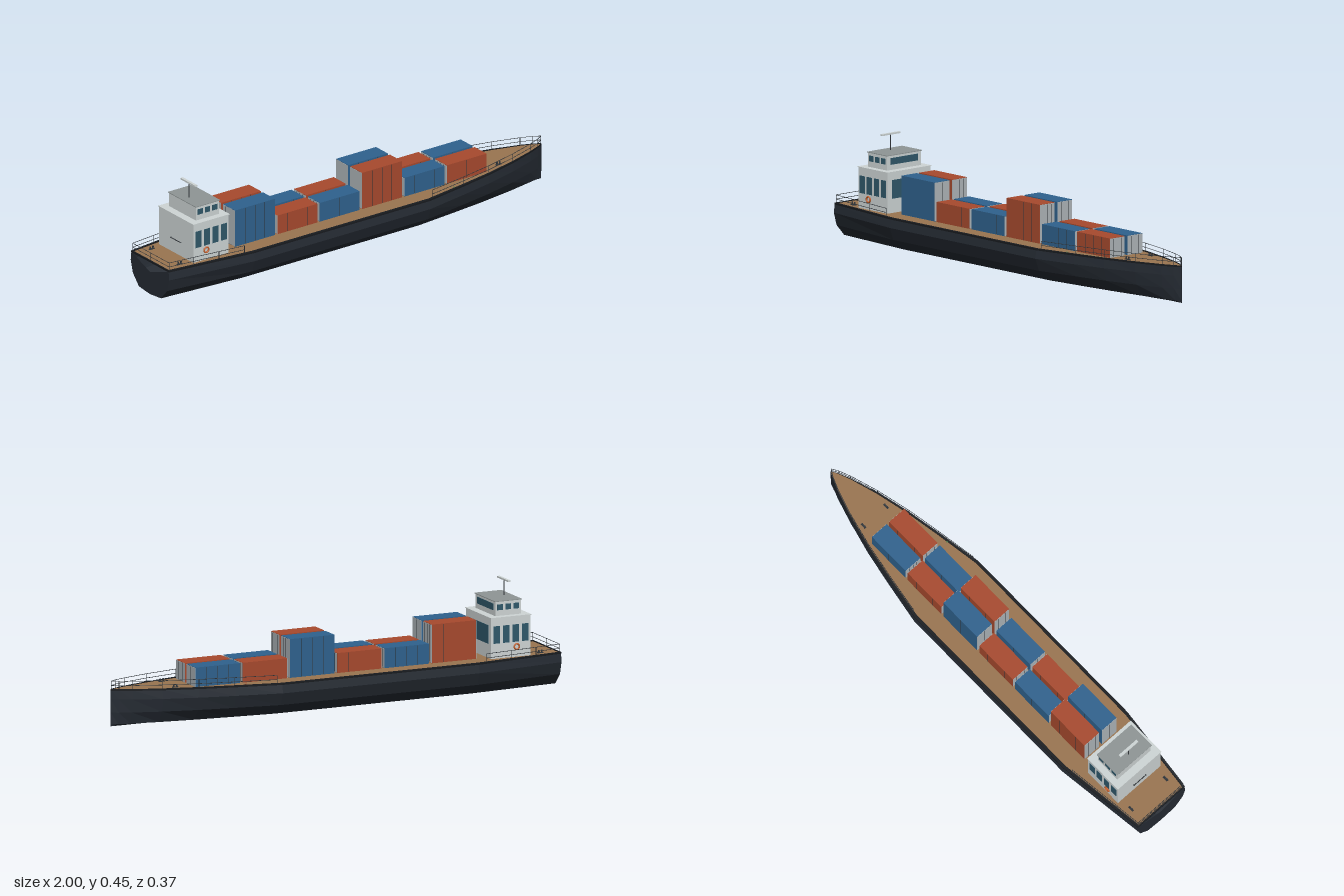
import * as THREE from 'three';

const mat = (color, extra = {}) => new THREE.MeshStandardMaterial({ color, ...extra });
const M = {
  hull: mat(0x252b33, { flatShading: true, side: THREE.DoubleSide }),
  trim: mat(0x181b1f, { side: THREE.DoubleSide }),
  deck: mat(0x9a7550, { side: THREE.DoubleSide }),
  house: mat(0xcfd6d6),
  roof: mat(0x8f9696),
  glass: mat(0x2f586a),
  blue: mat(0x2f628e),
  red: mat(0xa84a2e),
  doors: mat(0xb0b7bb),
  metal: mat(0x33383d),
  buoy: mat(0xc8622e),
  green: mat(0x2f8a4e),
};

// Plan outline of the ship: [x, share of the full beam]
const STATIONS = [[-1, 0.73], [-0.6, 1], [0.3, 1], [0.5, 0.81], [0.65, 0.65],
  [0.8, 0.44], [0.92, 0.22], [0.97, 0.1], [1, 0.008]];
const sheer = (x) => 0.007 * Math.max(0, (x - 0.3) / 0.7);
function beam(x) {
  for (let i = 1; i < STATIONS.length; i++) {
    const [x0, b0] = STATIONS[i - 1], [x1, b1] = STATIONS[i];
    if (x <= x1) return b0 + (b1 - b0) * (x - x0) / (x1 - x0);
  }
  return 0;
}

// Sweeps a cross-section of [z, y] points along the stations
function loft(section, capStern = false) {
  const pos = [], n = section.length;
  const point = (i, j) => {
    const [x, b] = STATIONS[i], [z, y] = section[j];
    return [x, y + sheer(x) * THREE.MathUtils.clamp(y / 0.145, 0, 1), z * b];
  };
  const tri = (a, b, c) => pos.push(...a, ...b, ...c);
  for (let i = 0; i < STATIONS.length - 1; i++) {
    for (let j = 0; j < n - 1; j++) {
      const a = point(i, j), b = point(i, j + 1), c = point(i + 1, j + 1), d = point(i + 1, j);
      tri(a, b, c);
      tri(a, c, d);
    }
  }
  if (capStern) for (let j = 0; j < n - 1; j++) tri([-1, 0.1, 0], point(0, j + 1), point(0, j));
  const geo = new THREE.BufferGeometry();
  geo.setAttribute('position', new THREE.Float32BufferAttribute(pos, 3));
  geo.computeVertexNormals();
  return geo;
}

function add(parent, name, geo, material, x = 0, y = 0, z = 0) {
  const mesh = new THREE.Mesh(geo, material);
  mesh.name = name;
  mesh.position.set(x, y, z);
  parent.add(mesh);
  return mesh;
}
const box = (parent, name, material, w, h, d, x, y, z) =>
  add(parent, name, new THREE.BoxGeometry(w, h, d), material, x, y, z);
const group = (parent, name) => {
  const g = new THREE.Group();
  g.name = name;
  parent.add(g);
  return g;
};

// Thin straight bar between two points
function bar(parent, name, a, b, r = 0.0012) {
  const mid = a.clone().add(b).multiplyScalar(0.5), dir = b.clone().sub(a);
  const mesh = add(parent, name, new THREE.CylinderGeometry(r, r, dir.length(), 6), M.metal, mid.x, mid.y, mid.z);
  mesh.quaternion.setFromUnitVectors(new THREE.Vector3(0, 1, 0), dir.normalize());
}

// Railing with posts and two rails along [x, side] stops
function railing(parent, name, stops) {
  const g = group(parent, name);
  const at = ([x, side], h) => new THREE.Vector3(x, 0.147 + sheer(x) + h, side * 0.172 * beam(x));
  stops.forEach((s, i) => {
    bar(g, 'railPost', at(s, 0), at(s, 0.036));
    if (i) for (const h of [0.018, 0.036]) bar(g, 'rail', at(stops[i - 1], h), at(s, h));
  });
}

function buildHull(ship) {
  const half = [[0.177, 0.146], [0.183, 0.108], [0.163, 0.055], [0.105, 0.008]];
  const section = [...half, [0, 0], ...half.map(([z, y]) => [-z, y]).reverse()];
  add(ship, 'hull', loft(section, true), M.hull);
  add(ship, 'deck', loft([[-0.172, 0.147], [0.172, 0.147]]), M.deck);
  // Raised edge around the deck
  for (const s of [1, -1]) {
    const edge = [[0.167, 0.143], [0.18, 0.143], [0.18, 0.15], [0.167, 0.15], [0.167, 0.143]];
    add(ship, 'gunwale', loft(edge.map(([z, y]) => [z * s, y])), M.trim);
  }
  box(ship, 'sternEdge', M.trim, 0.006, 0.007, 0.26, -0.997, 0.1465, 0);
}

function buildContainer(cargo, i, side) {
  const tall = i % 3 === 0, h = tall ? 0.163 : 0.084, L = 0.203, W = 0.083;
  const g = group(cargo, 'container');
  g.position.set(-0.529 + i * 0.2165, 0.148, side * 0.0485);
  const paint = (i + (side > 0 ? 0 : 1)) % 2 === 0 ? M.blue : M.red;
  box(g, 'containerBody', paint, L, h, W, 0, h / 2, 0);
  for (const s of [1, -1]) {
    // Grey end doors with their seam and locking bars
    box(g, 'endDoors', M.doors, 0.002, h - 0.003, W - 0.002, s * L / 2, h / 2, 0);
    for (const z of [-0.021, 0, 0.021])
      box(g, 'doorBar', M.metal, 0.002, h - 0.008, 0.001, s * (L / 2 + 0.001), h / 2, z);
    // Upright seams on the long sides
    for (const x of [-0.05, 0, 0.05])
      box(g, 'sideSeam', M.metal, 0.0012, h - 0.004, 0.001, x, h / 2, s * W / 2);
  }
}

function buildHouse(ship) {
  const g = group(ship, 'deckHouse');
  g.position.x = -0.775;
  box(g, 'lowerHouse', M.house, 0.18, 0.172, 0.238, 0, 0.232, 0);
  box(g, 'lowerRoof', M.house, 0.186, 0.003, 0.244, 0, 0.3185, 0);
  box(g, 'bridge', M.house, 0.118, 0.062, 0.187, 0, 0.35, 0);
  box(g, 'bridgeRoof', M.roof, 0.124, 0.003, 0.194, 0, 0.3815, 0);
  // Forward windows
  box(g, 'lowerFrontWindow', M.glass, 0.004, 0.078, 0.19, 0.09, 0.246, 0);
  box(g, 'bridgeFrontWindow', M.glass, 0.004, 0.028, 0.15, 0.059, 0.356, 0);
  for (const s of [1, -1]) {
    for (let k = 0; k < 4; k++)
      box(g, 'lowerSideWindow', M.glass, 0.03, 0.073, 0.003, (k - 1.5) * 0.0435, 0.247, s * 0.119);
    for (let k = -1; k <= 1; k++)
      box(g, 'bridgeSideWindow', M.glass, 0.026, 0.024, 0.003, k * 0.037, 0.356, s * 0.0935);
    add(g, 'lifebuoy', new THREE.TorusGeometry(0.0115, 0.0035, 8, 20), M.buoy, -0.026, 0.19, s * 0.1215);
  }
  // Handrail on the after wall
  bar(g, 'rearHandrail', new THREE.Vector3(-0.095, 0.21, -0.035), new THREE.Vector3(-0.095, 0.21, 0.035), 0.002);
  for (const z of [-0.033, 0.033])
    bar(g, 'handrailBracket', new THREE.Vector3(-0.088, 0.21, z), new THREE.Vector3(-0.095, 0.21, z), 0.0015);
  // Mast and radar
  bar(g, 'mast', new THREE.Vector3(-0.026, 0.382, 0), new THREE.Vector3(-0.026, 0.45, 0), 0.002);
  box(g, 'radarBar', M.house, 0.012, 0.007, 0.1, -0.026, 0.451, 0);
}

export function createModel() {
  const ship = new THREE.Group();
  ship.name = 'cargoShip';
  buildHull(ship);
  buildHouse(ship);

  const cargo = group(ship, 'cargo');
  for (let i = 0; i < 6; i++) for (const side of [1, -1]) buildContainer(cargo, i, side);

  // Railings round the bow and the stern
  const bowX = [0.32, 0.5, 0.65, 0.8, 0.92, 0.97];
  railing(ship, 'bowRailing', [...bowX.map((x) => [x, 1]), [0.998, 0], ...bowX.map((x) => [x, -1]).reverse()]);
  const sternX = [-0.64, -0.76, -0.88, -0.995];
  railing(ship, 'sternRailing', [...sternX.map((x) => [x, 1]), [-0.995, 0], ...sternX.map((x) => [x, -1]).reverse()]);

  // Twin mooring posts
  for (const [x, z] of [[-0.92, 0.097], [0.735, 0.063]]) {
    for (const s of [1, -1]) {
      const g = group(ship, 'bollard');
      g.position.set(x, 0.147 + sheer(x), z * s);
      box(g, 'bollardBase', M.metal, 0.026, 0.003, 0.009, 0, 0.0015, 0);
      for (const dx of [-0.007, 0.007])
        add(g, 'bollardPost', new THREE.CylinderGeometry(0.0035, 0.003, 0.012, 10), M.metal, dx, 0.007, 0);
    }
  }
  // Side lights
  add(ship, 'leftSideLight', new THREE.SphereGeometry(0.003, 8, 6), M.green, 0.45, 0.153, 0.142);
  add(ship, 'rightSideLight', new THREE.SphereGeometry(0.003, 8, 6), M.red, 0.45, 0.153, -0.142);
  return ship;
}
